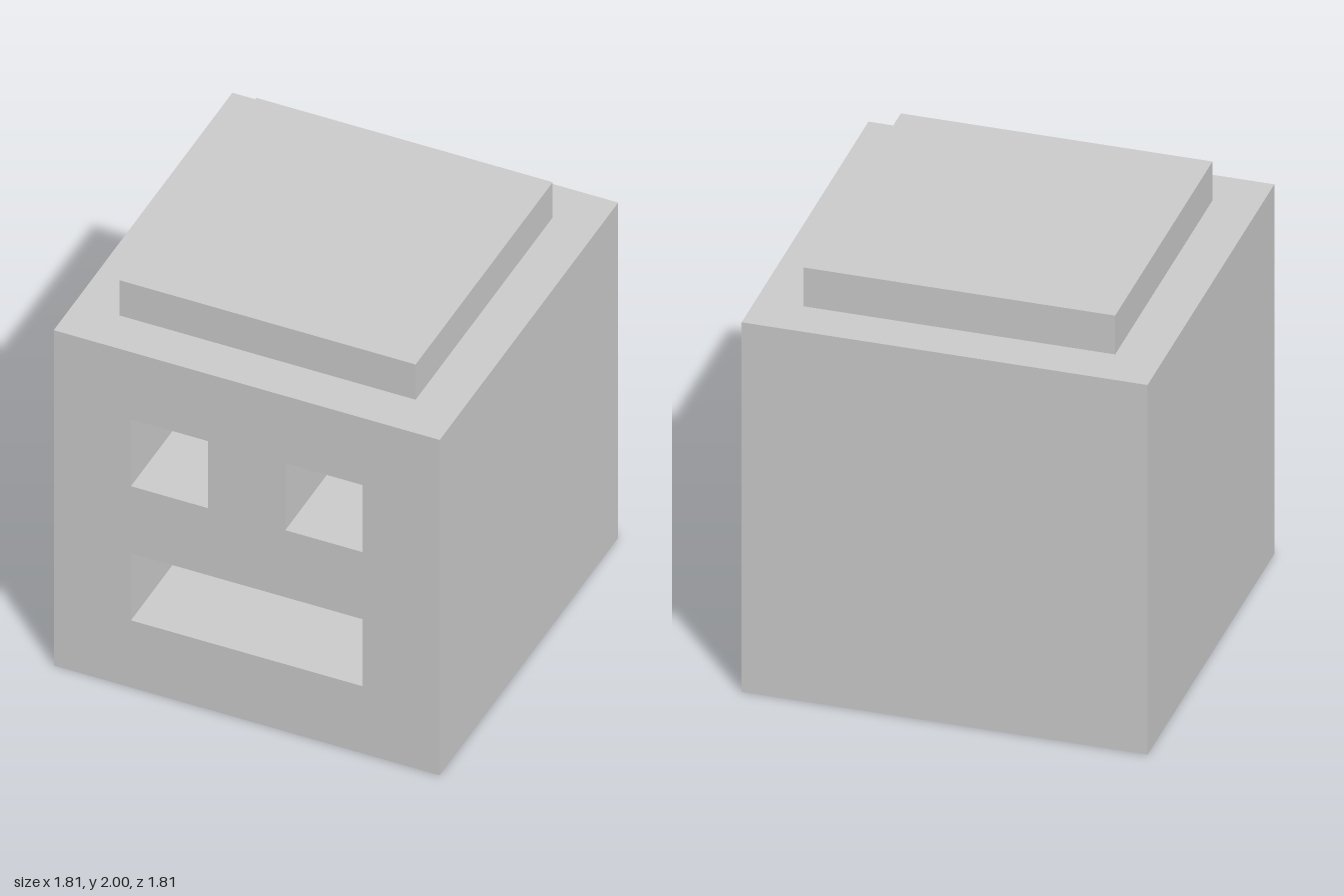
import * as THREE from 'three';

const SIZE = 1.81;          // edge of the cubic head
const HALF = SIZE / 2;
const UNIT = SIZE / 10;     // the face is laid out on a ten by ten grid
const CUT = HALF;           // depth of the eye and mouth recesses

// Rectangular opening in the face, in grid units
function opening(x, y, w, h) {
  const p = new THREE.Path();
  p.moveTo(x * UNIT, y * UNIT);
  p.lineTo(x * UNIT, (y + h) * UNIT);
  p.lineTo((x + w) * UNIT, (y + h) * UNIT);
  p.lineTo((x + w) * UNIT, y * UNIT);
  p.closePath();
  return p;
}

export function createModel() {
  const group = new THREE.Group();
  const material = new THREE.MeshStandardMaterial({ color: 0xcccccc, flatShading: true });

  function add(name, geometry, x, y, z) {
    const mesh = new THREE.Mesh(geometry, material);
    mesh.name = name;
    mesh.position.set(x, y, z);
    group.add(mesh);
  }

  // Front half of the head, pierced by two eyes and a mouth
  const face = new THREE.Shape();
  face.moveTo(-HALF, 0);
  face.lineTo(HALF, 0);
  face.lineTo(HALF, SIZE);
  face.lineTo(-HALF, SIZE);
  face.closePath();
  face.holes.push(opening(-3, 6, 2, 2), opening(1, 6, 2, 2), opening(-3, 2, 6, 2));
  add('face', new THREE.ExtrudeGeometry(face, { depth: CUT, bevelEnabled: false }), 0, 0, HALF - CUT);

  // Solid rear half, closing the recesses
  const rear = SIZE - CUT;
  add('headBack', new THREE.BoxGeometry(SIZE, SIZE, rear), 0, HALF, -HALF + rear / 2);

  // Square lid on top
  const lid = 2 - SIZE;
  add('lid', new THREE.BoxGeometry(1.39, lid, 1.39), 0, SIZE + lid / 2, 0);

  return group;
}
